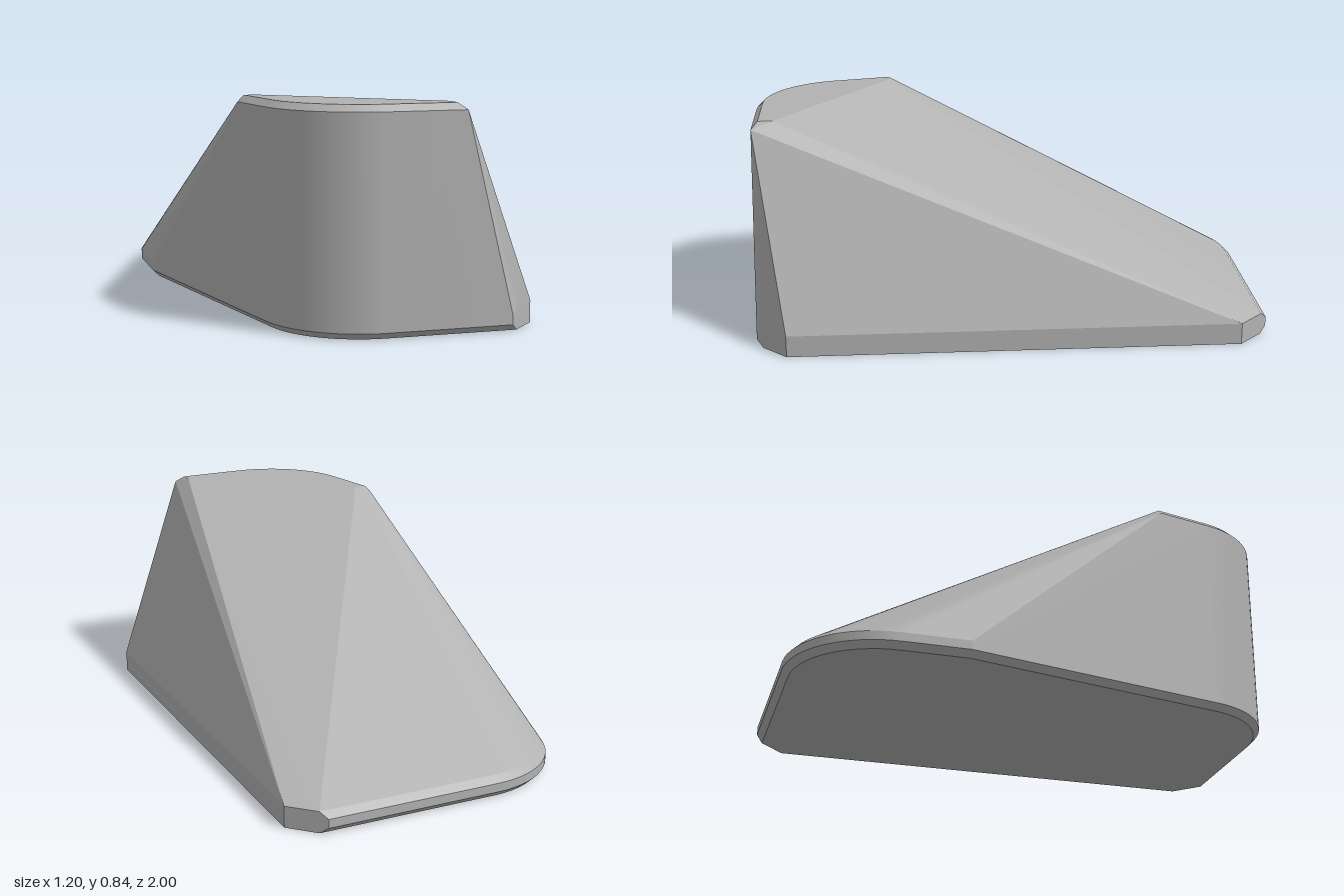
import * as THREE from 'three';
import { ConvexGeometry } from 'three/addons/geometries/ConvexGeometry.js';
import { toCreasedNormals } from 'three/addons/utils/BufferGeometryUtils.js';

const RADIUS = 0.38, BEVEL = 0.025, SEGMENTS = 16;

// points of an arc in the ground plane, angles in degrees
function arc(cx, cz, r, from, to) {
  return Array.from({ length: SEGMENTS + 1 }, (_, i) => {
    const a = THREE.MathUtils.degToRad(from + (to - from) * i / SEGMENTS);
    return [cx + r * Math.cos(a), cz + r * Math.sin(a)];
  });
}

const frontArc = inset => arc(0, 0.62, RADIUS - inset, 90, 168.1);

// base outline; the right side and its cut corners stay square
function baseOutline(inset) {
  return [
    [0.48 + inset, 1 - inset], ...frontArc(inset),
    [-0.6 + inset, -0.36], ...arc(-0.22, -0.62, RADIUS - inset, 180, 270),
    [0.48 + inset, -1 + inset], [0.6, -0.88], [0.6, 0.88],
  ];
}

// front part of the outline that reaches full height
function topOutline(inset) {
  return [[0.295 - inset * 1.3, 1 - inset], ...frontArc(inset), [-0.421 + inset, 0.47]];
}

export function createModel() {
  const group = new THREE.Group();
  const grey = new THREE.MeshStandardMaterial({ color: 0xb2b2b2 });
  grey.name = 'grey';

  const points = [];
  const addLayer = (outline, y) =>
    outline.forEach(([x, z]) => points.push(new THREE.Vector3(x, y, z)));

  // bevelled base slab
  addLayer(baseOutline(BEVEL), 0);
  addLayer(baseOutline(0), BEVEL);
  addLayer(baseOutline(0), 0.06);
  addLayer(baseOutline(BEVEL), 0.085);
  // bevelled top
  addLayer(topOutline(0), 0.817);
  addLayer(topOutline(BEVEL), 0.842);
  addLayer([[-0.35, 0.47], [0.262, 0.92]], 0.842);

  // skin stretched over both slabs
  const wedge = new THREE.Mesh(toCreasedNormals(new ConvexGeometry(points), 0.18), grey);
  wedge.name = 'wedgeBody';
  group.add(wedge);
  return group;
}
